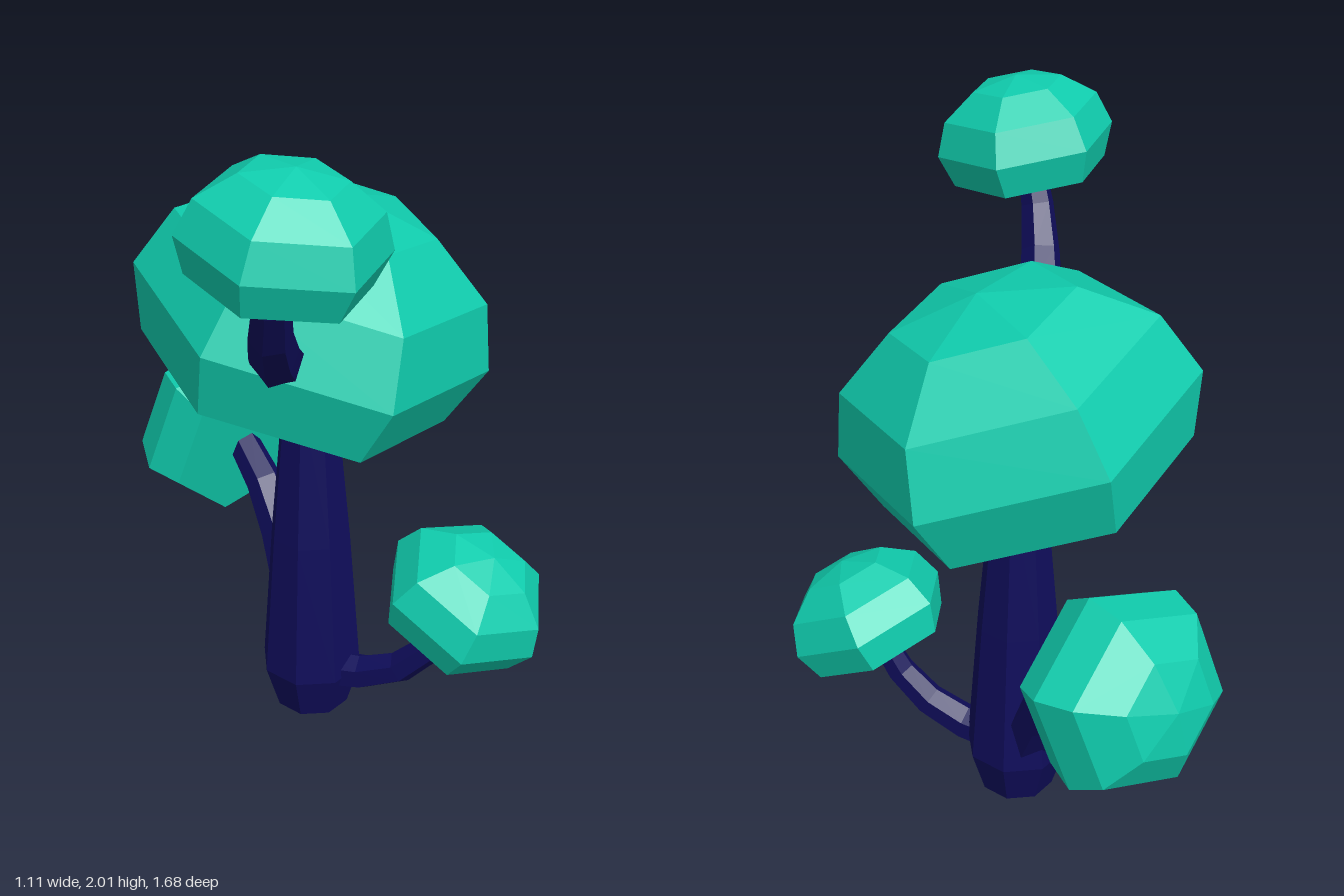
import * as THREE from 'three';

const teal = new THREE.MeshStandardMaterial({ color: 0x10cdae, flatShading: true });
teal.name = 'teal cap';
const navy = new THREE.MeshStandardMaterial({ color: 0x0f0d5a, flatShading: true });
navy.name = 'navy bark';

const V = (a) => new THREE.Vector3(...a);

function addMesh(group, name, geometry, material) {
  const flat = geometry.toNonIndexed();
  flat.computeVertexNormals();
  const mesh = new THREE.Mesh(flat, material);
  mesh.name = name;
  group.add(mesh);
}

// Six-sided squashed dome with a flat underside; the centre lies on its widest ring,
// up is its axis and corner points towards one of the widest corners
function capGeometry(center, up, corner, radius) {
  const height = radius * 0.735;
  const profile = [new THREE.Vector2(0, -height / 2)];
  for (let i = 4; i >= 0; i--) {
    const t = (i * Math.PI) / 6;
    profile.push(new THREE.Vector2(i ? radius * Math.sin(t) : 0, height * Math.cos(t)));
  }
  const n = V(up).normalize();
  const u = V(corner);
  u.addScaledVector(n, -u.dot(n)).normalize();
  const side = new THREE.Vector3().crossVectors(n, u);
  const matrix = new THREE.Matrix4().makeBasis(side, n, u).setPosition(...center);
  return new THREE.LatheGeometry(profile, 6).applyMatrix4(matrix);
}

// Bent tube that narrows from r0 to r1
function branchGeometry(points, r0, r1) {
  const curve = new THREE.CatmullRomCurve3(points.map(V));
  const rows = 4, sides = 6;
  const geometry = new THREE.TubeGeometry(curve, rows, 1, sides);
  const pos = geometry.attributes.position;
  const p = new THREE.Vector3();
  for (let i = 0; i < pos.count; i++) {
    const t = Math.floor(i / (sides + 1)) / rows;
    const c = curve.getPointAt(t);
    p.fromBufferAttribute(pos, i).sub(c).multiplyScalar(r0 + (r1 - r0) * t).add(c);
    pos.setXYZ(i, p.x, p.y, p.z);
  }
  return geometry;
}

export function createModel() {
  const group = new THREE.Group();
  group.name = 'mushroomTree';

  // Trunk: pinched foot, then a long taper up into the main cap
  const trunkProfile = [[0, 0], [0.113, 0], [0.155, 0.14], [0.122, 0.6], [0.078, 1.08], [0.07, 1.25], [0, 1.25]]
    .map(([r, y]) => new THREE.Vector2(r, y));
  const trunk = new THREE.LatheGeometry(trunkProfile, 8, Math.PI / 16).translate(-0.055, 0, -0.065);
  addMesh(group, 'trunk', trunk, navy);

  // Caps: centre, axis, corner direction, radius
  const caps = [
    ['mainCap', [-0.045, 1.295, -0.07], [0.286, 1, 0.085], [0.075, -0.06, 0.51], 0.52],
    ['topCap', [-0.295, 1.815, 0.6], [0.127, 1, 0.1], [0.095, -0.036, 0.23], 0.262],
    ['leftCap', [0.32, 0.488, 0.25], [0.37, 1, 0.38], [0.23, -0.065, -0.06], 0.257],
    ['backCap', [-0.17, 0.71, -0.6], [-0.35, 0.26, -1], [0.28, 0.085, -0.075], 0.305],
  ];
  for (const [name, center, up, corner, radius] of caps) {
    addMesh(group, name, capGeometry(center, up, corner, radius), teal);
  }

  // Branches: path, start radius, end radius
  const branches = [
    ['topBranch', [[-0.23, 1.34, 0.27], [-0.285, 1.46, 0.42], [-0.315, 1.6, 0.53], [-0.31, 1.76, 0.6]], 0.075, 0.04],
    ['leftBranch', [[-0.03, 0.13, -0.02], [0.1, 0.16, 0.09], [0.21, 0.25, 0.18], [0.29, 0.41, 0.235]], 0.06, 0.04],
    ['backBranch', [[-0.06, 0.2, -0.13], [-0.08, 0.42, -0.25], [-0.11, 0.58, -0.37], [-0.15, 0.68, -0.52]], 0.08, 0.05],
  ];
  for (const [name, path, r0, r1] of branches) {
    addMesh(group, name, branchGeometry(path, r0, r1), navy);
  }

  return group;
}
